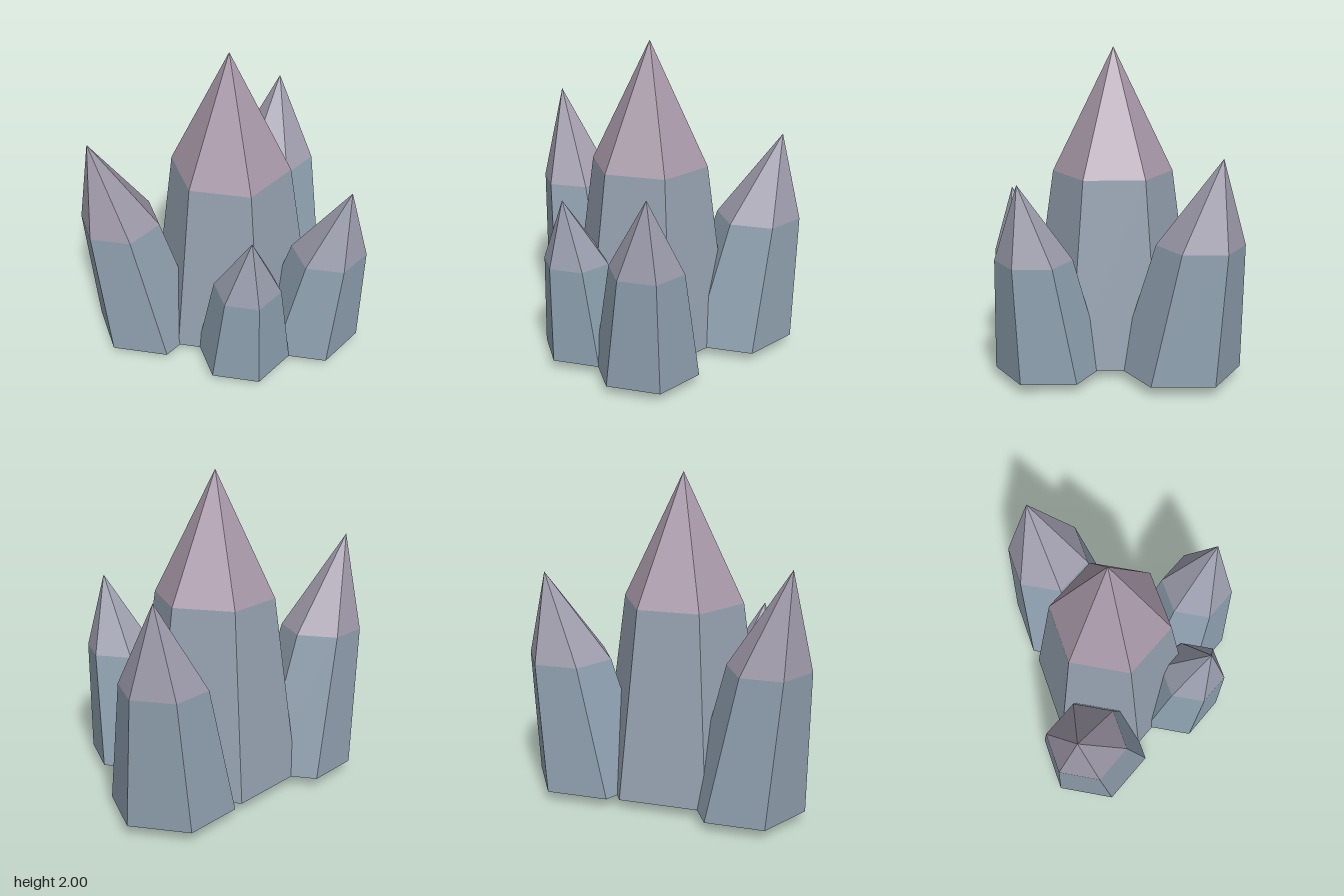
import * as THREE from 'three';

const BASE_Y = 0.06;     // height of the widest ring above the foot point
const SHOULDER = 0.6;    // share of the height where the point begins
const TAPER = 0.7;       // shoulder radius relative to base radius

// name, base centre [x, z], base radius, tip [x, y, z]
const CRYSTALS = [
  ['mainCrystal', [-0.04, -0.125], 0.54, [-0.04, 2.0, -0.125]],
  ['backRightCrystal', [-0.52, -0.425], 0.357, [-0.79, 1.55, -0.57]],
  ['backLeftCrystal', [0.5, -0.275], 0.383, [0.76, 1.4, -0.385]],
  ['frontLeftCrystal', [0.095, 0.41], 0.335, [0.165, 1.25, 0.655]],
  ['frontRightCrystal', [-0.34, 0.23], 0.3, [-0.44, 1.1, 0.39]],
];

const LOW = new THREE.Color(0x86a6b5);
const HIGH = new THREE.Color(0xa898a8);

// Six-sided section between two rings {x, y, z, r}, sheared so it can lean
function section(name, a, b) {
  const h = b.y - a.y;
  const geo = new THREE.CylinderGeometry(b.r, a.r, h, 6, 1, true, Math.PI / 2);
  const pos = geo.attributes.position;
  for (let i = 0; i < pos.count; i++) {
    const end = pos.getY(i) > 0 ? b : a;
    pos.setXYZ(i, pos.getX(i) + end.x, end.y, pos.getZ(i) + end.z);
  }
  geo.computeVertexNormals();
  const color = LOW.clone().lerp(HIGH, Math.min(1, (a.y + b.y) / 2 / 1.6));
  const mesh = new THREE.Mesh(geo, new THREE.MeshStandardMaterial({ color, flatShading: true }));
  mesh.name = name;
  return mesh;
}

function crystal([name, [x, z], r, [tx, ty, tz]]) {
  const foot = { x, y: 0, z, r: 0 };
  const base = { x, y: BASE_Y, z, r };
  // The shoulder ring leans half as far as the tip
  const shoulder = {
    x: (x + tx) / 2,
    y: BASE_Y + (ty - BASE_Y) * SHOULDER,
    z: (z + tz) / 2,
    r: r * TAPER,
  };
  const tip = { x: tx, y: ty, z: tz, r: 0 };

  const group = new THREE.Group();
  group.name = name;
  group.add(
    section('foot', foot, base),
    section('shaft', base, shoulder),
    section('point', shoulder, tip),
  );
  return group;
}

export function createModel() {
  const model = new THREE.Group();
  model.name = 'crystalCluster';
  for (const spec of CRYSTALS) model.add(crystal(spec));
  return model;
}
